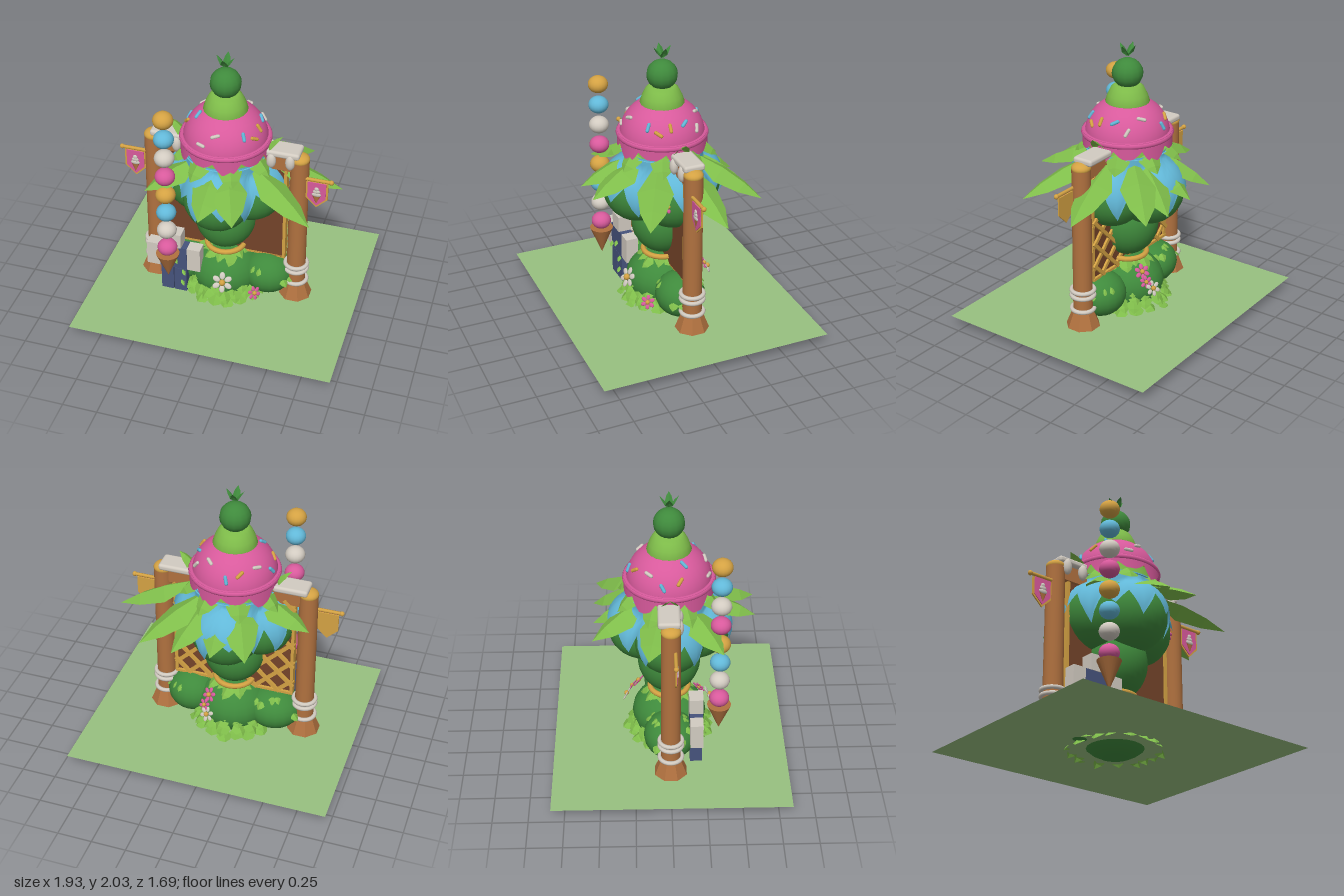
import * as THREE from 'three';
import { mergeGeometries } from 'three/addons/utils/BufferGeometryUtils.js';
import { RoundedBoxGeometry } from 'three/addons/geometries/RoundedBoxGeometry.js';

const mat = (name, color) => new THREE.MeshStandardMaterial({ name, color, side: THREE.DoubleSide });
const darkGreen = mat('dark green', 0x3f8a3c), lightGreen = mat('light green', 0x7fbd4a);
const pink = mat('pink', 0xd85a9c), blue = mat('sky blue', 0x62b8d8), gold = mat('gold', 0xd4a243);
const cream = mat('cream', 0xd2cbc1), wood = mat('wood', 0xb0713f), brown = mat('dark brown', 0x744329);
const navy = mat('navy', 0x46537c), lawn = mat('lawn green', 0x98c080);

const CX = -0.035; // axis of the plant
const V = (x, y, z) => new THREE.Vector3(x, y, z);
const polar = (r, a, y) => V(CX + r * Math.sin(a), y, r * Math.cos(a));

export function createModel() {
  const root = new THREE.Group();
  root.name = 'gardenStall';
  const add = (name, geo, m, x = 0, y = 0, z = 0, parent = root) => {
    const mesh = new THREE.Mesh(geo, m);
    mesh.name = name;
    mesh.position.set(x, y, z);
    parent.add(mesh);
    return mesh;
  };
  const ball = (name, m, x, y, z, rx, ry = rx, rz = rx, seg = 20) =>
    add(name, new THREE.SphereGeometry(1, seg, Math.round(seg * 0.7)).scale(rx, ry, rz), m, x, y, z);
  const box = (name, m, w, h, d, x, y, z) => add(name, new THREE.BoxGeometry(w, h, d), m, x, y, z);

  // Folded pointed leaf reaching from base to tip
  const leaf = (base, tip, width, fold = 0.12, up = V(0, 1, 0)) => {
    const rows = [[0, 0.15], [0.35, 0.5], [0.7, 0.34], [1, 0]], pos = [];
    const p = ([t, w], s) => [s * w, Math.sin(t * Math.PI) * 0.12 - Math.abs(s) * w * fold * 4, t];
    for (let i = 0; i < 3; i++) for (const s of [1, -1]) {
      const a = p(rows[i], 0), b = p(rows[i], s), c = p(rows[i + 1], s), d = p(rows[i + 1], 0);
      const tris = s > 0 ? [a, d, b, b, d, c] : [a, b, d, b, c, d];
      tris.forEach((q) => pos.push(...q));
    }
    const g = new THREE.BufferGeometry();
    g.setAttribute('position', new THREE.Float32BufferAttribute(pos, 3));
    const z = tip.clone().sub(base), x = up.clone().cross(z).normalize(), y = z.clone().cross(x).normalize();
    const m = new THREE.Matrix4().makeBasis(x.multiplyScalar(width), y.multiplyScalar(width), z).setPosition(base);
    g.applyMatrix4(m);
    g.computeVertexNormals();
    return g;
  };

  // Ground
  const ground = add('lawn', new THREE.PlaneGeometry(1.935, 1.69), lawn, 0, 0.045, 0);
  ground.rotation.x = -Math.PI / 2;

  // Posts, feet, rings, caps, beam ends and banners
  const pennant = (s) => new THREE.Shape([[-s, 0.1], [s, 0.1], [s, -0.03 - 0.2 * (s - 0.07)], [0, -0.1 - (s - 0.07)], [-s, -0.03 - 0.2 * (s - 0.07)]].map(([x, y]) => new THREE.Vector2(x, y)));
  for (const s of [-1, 1]) {
    const x = CX + 0.537 * s;
    add('post', new THREE.CylinderGeometry(0.067, 0.07, 1.14, 20), wood, x, 0.7, 0);
    const foot = new THREE.CylinderGeometry(0.08, 0.123, 0.11, 8).toNonIndexed();
    foot.rotateY(Math.PI / 8).computeVertexNormals();
    add('postFoot', foot, wood, x, 0.105, 0);
    ball('postCap', gold, x, 1.265, 0, 0.069, 0.042, 0.069);
    for (const y of [0.185, 0.29, 0.332])
      add('postRing', new THREE.TorusGeometry(0.08, 0.016, 8, 24).rotateX(Math.PI / 2), cream, x, y, 0);
    add('beamIcing', new RoundedBoxGeometry(0.25, 0.05, 0.155, 2, 0.02), cream, CX + 0.42 * s, 1.31, -0.01);
    for (const [dx, y] of [[0.48, 1.26], [0.345, 1.255]])
      ball('icingDrip', cream, CX + dx * s, y, 0.06, 0.035, 0.06, 0.03, 12);
    // Banner with a small cone motif
    const bx = s < 0 ? -0.705 : 0.637;
    const rod = add('bannerRod', new THREE.CylinderGeometry(0.013, 0.013, 0.21, 8), gold, bx + s * 0.005, 1.13, 0.03);
    rod.rotation.z = Math.PI / 2;
    ball('rodEnd', gold, bx + s * 0.1, 1.13, 0.03, 0.018, 0.018, 0.018, 10);
    add('bannerBack', new THREE.ExtrudeGeometry(pennant(0.08), { depth: 0.01, bevelEnabled: false }), gold, bx, 1.01, 0.025);
    add('bannerFace', new THREE.ExtrudeGeometry(pennant(0.066), { depth: 0.006, bevelEnabled: false }), pink, bx, 1.012, 0.034);
    const cone = add('bannerCone', new THREE.ConeGeometry(0.03, 0.07, 8).rotateX(Math.PI).scale(1, 1, 0.15), wood, bx, 0.972, 0.042);
    cone.updateMatrix();
    [[0.036, 1.015], [0.028, 1.04], [0.017, 1.062]].forEach(([r, y]) => ball('bannerScoop', cream, bx, y, 0.043, r, 0.017, 0.008, 10));
  }
  box('crossBeam', wood, 1.0, 0.11, 0.08, CX, 1.225, 0);

  // Back panel with gold frame and diagonal lattice behind
  const L = -0.485, R = 0.415, B = 0.37, T = 1.2;
  box('panel', brown, R - L, T - B, 0.03, (L + R) / 2, (B + T) / 2, 0);
  for (const x of [L + 0.01, R - 0.005]) box('panelFrame', gold, 0.022, T - B, 0.06, x, (B + T) / 2, 0);
  for (const y of [B, T]) box('panelRail', gold, R - L, 0.02, 0.05, (L + R) / 2, y, -0.01);
  const bars = [];
  for (const dir of [1, -1]) for (let c = -0.75; c < 0.95; c += 0.17) {
    const h = T - B, w = R - L;
    const t0 = Math.max(0, c), t1 = Math.min(w, c + h);
    if (t1 - t0 < 0.04) continue;
    const len = (t1 - t0) * Math.SQRT2, mid = (t0 + t1) / 2;
    const g = new THREE.BoxGeometry(len, 0.026, 0.02).rotateZ(dir * Math.PI / 4);
    bars.push(g.translate(dir > 0 ? L + mid : R - mid, B + mid - c, -0.028 - 0.006 * dir));
  }
  add('lattice', mergeGeometries(bars), gold);

  // Trunk bulb and four lobes
  ball('trunkBulb', darkGreen, CX, 0.67, 0, 0.228, 0.26, 0.228, 28);
  add('trunkRing', new THREE.TorusGeometry(0.14, 0.02, 8, 24).rotateX(Math.PI / 2), gold, CX, 0.415, 0);
  for (let i = 0; i < 4; i++) {
    const p = polar(0.19, i * Math.PI / 2, 0.965);
    ball('lobe', darkGreen, p.x, p.y, p.z, 0.25, 0.25, 0.25, 22);
  }

  // Melted skirt: open tube shaped by a radius rule with a toothed lower edge
  const skirt = (name, m, teeth, top, high, lows, radius, sharp) => {
    const g = new THREE.CylinderGeometry(1, 1, 1, teeth * 6, 8, true), p = g.attributes.position, uv = g.attributes.uv;
    for (let i = 0; i < p.count; i++) {
      const u = uv.getX(i), a = u * Math.PI * 2, k = u * teeth;
      const wave = Math.min(1, sharp * (1 - Math.abs((k % 1) * 2 - 1)));
      const low = high + (lows[Math.floor(k) % lows.length] - high) * wave;
      const y = low + (top - low) * uv.getY(i), r = radius(a, y);
      p.setXYZ(i, CX + r * Math.sin(a), y, r * Math.cos(a));
    }
    g.computeVertexNormals();
    add(name, g, m);
  };
  skirt('blueIcing', blue, 14, 1.27, 1.06, [0.93, 0.83, 0.97, 0.88, 0.84], (a, y) => {
    const phi = a - Math.round(a / (Math.PI / 2)) * Math.PI / 2;
    const h2 = 0.264 ** 2 - (y - 0.965) ** 2 - (0.19 * Math.sin(phi)) ** 2;
    return Math.max(0.29, 0.19 * Math.cos(phi) + Math.sqrt(Math.max(0, h2)));
  }, 1);
  add('blueIcingTop', new THREE.ConeGeometry(0.3, 0.05, 32), blue, CX, 1.28, 0);

  // Large drooping leaves, given by their tips
  const tips = [[-0.05, 1.04, 0.61], [0.19, 1.05, 0.61], [0.67, 0.99, 0.385], [0.79, 0.97, -0.13], [0.49, 0.97, -0.53],
    [0.25, 0.95, -0.545], [-0.03, 0.97, -0.54], [-0.28, 0.99, -0.54], [-0.62, 1.05, -0.15], [-0.52, 1.03, 0.365]];
  add('canopyLeaves', mergeGeometries(tips.map(([x, y, z]) =>
    leaf(V(CX + (x - CX) * 0.38, 1.22, z * 0.38), V(x, y, z), 0.25))), lightGreen);

  // Collar and small leaves below the dome
  add('collar', new THREE.CylinderGeometry(0.26, 0.29, 0.16, 24), lightGreen, CX, 1.28, 0);
  const collarLeaves = [];
  for (let i = 0; i < 8; i++) {
    const a = (i + 0.5) * Math.PI / 4;
    collarLeaves.push(leaf(polar(0.25, a, 1.31), polar(0.39, a, 1.17), 0.17));
  }
  for (const s of [-1, 1]) collarLeaves.push(leaf(polar(0.28, s * Math.PI / 2, 1.31), polar(0.41, s * Math.PI / 2, 1.425), 0.12));
  add('collarLeaves', mergeGeometries(collarLeaves), lightGreen);

  // Pink dome with rim, drips and sprinkles
  add('pinkDome', new THREE.SphereGeometry(1, 32, 12, 0, Math.PI * 2, 0, Math.PI / 2).scale(0.3, 0.275, 0.3), pink, CX, 1.35, 0);
  add('domeRim', new THREE.TorusGeometry(0.305, 0.022, 8, 36).rotateX(Math.PI / 2), pink, CX, 1.365, 0);
  skirt('pinkDrips', pink, 10, 1.385, 1.325, [1.24, 1.28, 1.23, 1.27], (a, y) => 0.318, 1.8);
  [[0, 55, cream], [45, 58, blue], [62, 66, gold], [105, 55, blue], [80, 58, gold], [150, 50, cream], [205, 60, gold], [185, 68, blue],
    [235, 55, cream], [285, 62, gold], [300, 40, blue], [340, 72, cream], [125, 68, cream], [260, 70, blue]].forEach(([ad, pd, m], i) => {
    const a = ad * Math.PI / 180, f = pd * Math.PI / 180;
    const p = polar(0.302 * Math.sin(f), a, 1.35 + 0.277 * Math.cos(f));
    const s = add('sprinkle', new THREE.CapsuleGeometry(0.013, 0.045, 3, 8), m, p.x, p.y, p.z);
    const n = V(Math.sin(f) * Math.sin(a), Math.cos(f), Math.sin(f) * Math.cos(a));
    const t = V(Math.cos(a), 0, -Math.sin(a)).applyAxisAngle(n, i * 1.1 + 0.4);
    s.quaternion.setFromUnitVectors(V(0, 1, 0), t);
  });

  // Bell, crown ball and sprout
  const bell = [[0, 1.56], [0.145, 1.57], [0.157, 1.59], [0.14, 1.64], [0.115, 1.69], [0.09, 1.71], [0, 1.715]];
  add('bell', new THREE.LatheGeometry(bell.map(([r, y]) => new THREE.Vector2(r, y)), 20), lightGreen, CX, 0, 0);
  ball('crownBall', darkGreen, CX, 1.792, 0, 0.11, 0.107, 0.11, 14);
  const sprout = [];
  for (let i = 0; i < 4; i++) {
    const a = i * Math.PI / 2;
    sprout.push(leaf(polar(0.0, a, 1.915), polar(0.065, a, 2.0), 0.055));
  }
  add('sprout', mergeGeometries(sprout), darkGreen);

  // Leafy mound and side bushes
  ball('moundCore', darkGreen, CX, 0.19, 0, 0.27, 0.22, 0.27);
  ball('sideBush', darkGreen, -0.34, 0.2, 0, 0.21, 0.16, 0.19);
  ball('sideBush', darkGreen, 0.29, 0.21, 0, 0.19, 0.165, 0.18);
  const moundLeaves = [];
  for (let row = 0; row < 7; row++) for (let i = 0, n = 18 - row; i < n; i++) {
    const a = (i + 0.5 * (row % 2)) / n * Math.PI * 2, r = 0.26 - 0.024 * row + 0.012 * Math.sin(i * 2.3 + row);
    const y = 0.1 + 0.052 * row;
    moundLeaves.push(leaf(polar(r, a, y), polar(r + 0.085, a + 0.15 * Math.sin(i * 5 + row), y - 0.085 + 0.012 * Math.sin(i * 3.7)), 0.115));
  }
  for (const [bx, r] of [[-0.34, 0.2], [0.29, 0.18]]) for (let i = 0; i < 14; i++) {
    const a = i * 2.4, f = 0.5 + (i % 4) * 0.3, k = r * Math.sin(f);
    const b = V(bx + k * Math.sin(a), 0.21 + 0.16 * Math.cos(f), k * Math.cos(a));
    moundLeaves.push(leaf(b, b.clone().add(V(0.045 * Math.sin(a), -0.05, 0.045 * Math.cos(a))), 0.07));
  }
  for (const [x, y] of [[-0.36, 0.35], [-0.31, 0.15], [-0.45, 0.3], [-0.3, 0.25]])
    moundLeaves.push(leaf(V(x, y, 0.232), V(x + 0.03, y - 0.03, 0.26), 0.03));
  add('moundLeaves', mergeGeometries(moundLeaves), lightGreen);

  // Flowers facing outward
  const flower = (m, x, y, z, size) => {
    const g = new THREE.Group();
    g.name = 'flower';
    g.position.set(x, y, z);
    g.lookAt(CX + (x - CX) * 2, y + 0.15, z * 2);
    for (let i = 0; i < 6; i++) {
      const a = i * Math.PI / 3;
      add('petal', new THREE.SphereGeometry(1, 10, 6).scale(size * 0.27, size * 0.36, size * 0.1), m,
        -Math.sin(a) * size * 0.62, Math.cos(a) * size * 0.62, 0, g).rotation.z = a;
    }
    add('flowerCentre', new THREE.SphereGeometry(size * 0.3, 10, 8), gold, 0, 0, size * 0.1, g);
    root.add(g);
  };
  flower(cream, 0.025, 0.265, 0.3, 0.08);
  flower(pink, 0.25, 0.165, 0.235, 0.055);
  flower(pink, 0.09, 0.36, -0.22, 0.06);
  flower(pink, 0.11, 0.3, -0.27, 0.05);
  flower(cream, 0.08, 0.25, -0.31, 0.06);
  flower(pink, 0.36, 0.98, 0.12, 0.05);

  // Blocky figure
  const FX = -0.37, FZ = 0.185;
  box('figureTorso', navy, 0.205, 0.195, 0.09, FX, 0.353, FZ);
  box('figureHead', cream, 0.12, 0.12, 0.1, FX, 0.51, FZ);
  for (const s of [-1, 1]) {
    box('figureLeg', navy, 0.094, 0.205, 0.088, FX + 0.05 * s, 0.148, FZ);
    box('figureArm', cream, 0.1, 0.195, 0.092, FX + 0.154 * s, 0.355, FZ);
  }

  // Tower of scoops on a wafer cone
  add('waferCone', new THREE.ConeGeometry(0.086, 0.21, 16).rotateX(Math.PI), wood, FX, 0.385, 0.348);
  for (let i = 0; i < 8; i++)
    ball('scoop', [pink, cream, blue, gold][i % 4], FX, 0.548 + i * 0.1565, 0.348, 0.072, 0.062, 0.072, 18);

  return root;
}
